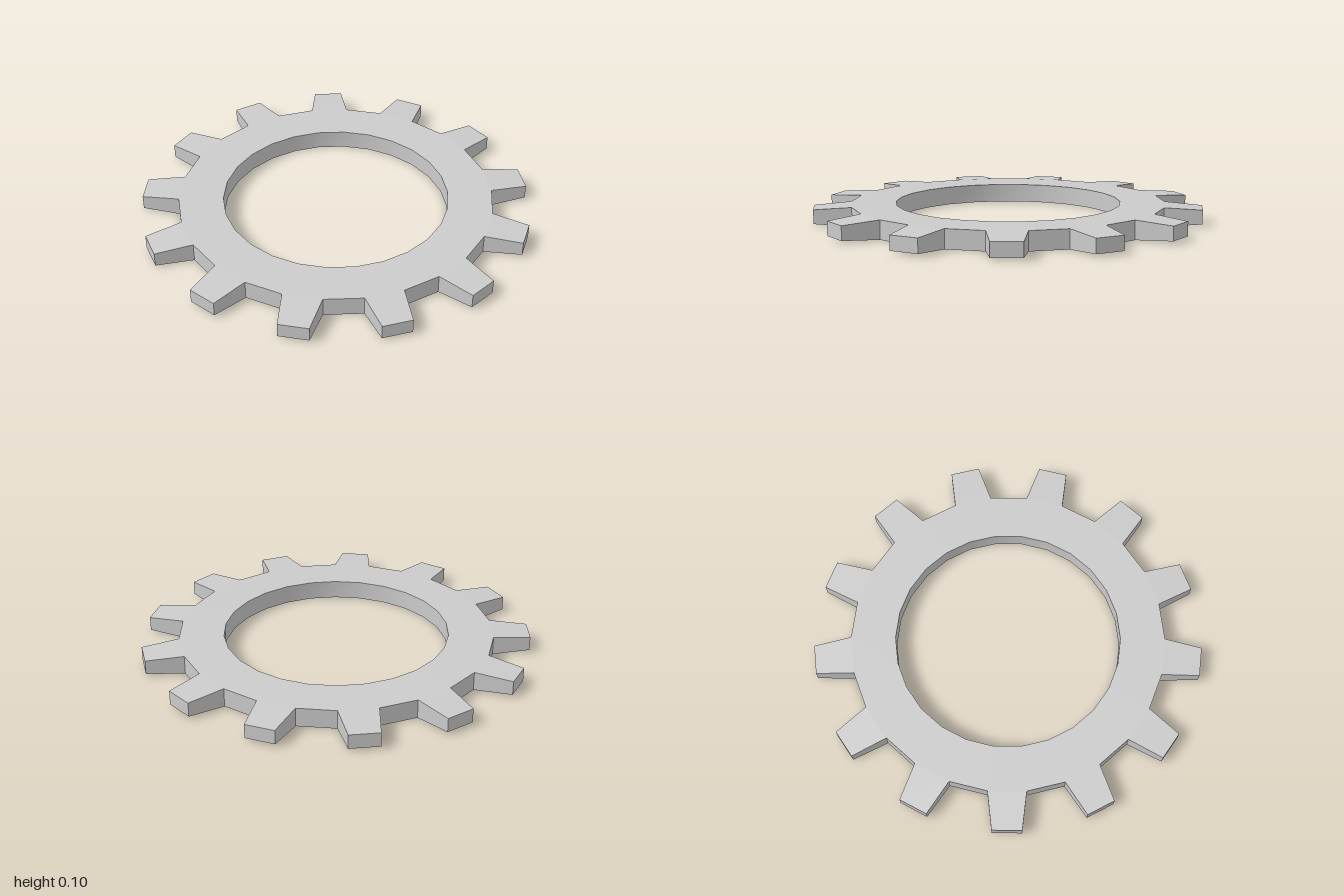
import * as THREE from 'three';
import { toCreasedNormals } from 'three/addons/utils/BufferGeometryUtils.js';

const TEETH = 13;
const STEP = Math.PI / TEETH; // one tooth or one gap
const HEIGHT = 0.097;

// Edge lines of a cell: radius, half angle, bottom and top
const HOLE = { r: 0.58, half: STEP / 2, y0: 0, y1: HEIGHT };
const ROOT = { r: 0.81, half: STEP / 2, y0: 0, y1: HEIGHT };
const TIP = { r: 1.0, half: 0.0757, y0: 0.012, y1: HEIGHT - 0.012 };

// Adds the chosen faces of a wedge between two edge lines, centred on an angle
function addCell(out, angle, inner, outer, faces) {
  const corner = (e, side, y) => {
    const a = angle + side * e.half;
    return [e.r * Math.sin(a), y, -e.r * Math.cos(a)];
  };
  const [i0, i1, I0, I1] = [[-1, 'y0'], [1, 'y0'], [-1, 'y1'], [1, 'y1']].map(([s, y]) => corner(inner, s, inner[y]));
  const [o0, o1, O0, O1] = [[-1, 'y0'], [1, 'y0'], [-1, 'y1'], [1, 'y1']].map(([s, y]) => corner(outer, s, outer[y]));
  const quads = {
    top: [I0, I1, O1, O0],
    bottom: [o0, o1, i1, i0],
    inner: [i0, i1, I1, I0],
    outer: [o1, o0, O0, O1],
    sideA: [o0, i0, I0, O0],
    sideB: [i1, o1, O1, I1],
  };
  for (const face of faces) {
    const [a, b, c, d] = quads[face];
    out.push(...a, ...b, ...c, ...a, ...c, ...d);
  }
}

function makeGeometry(positions) {
  const geometry = new THREE.BufferGeometry();
  geometry.setAttribute('position', new THREE.Float32BufferAttribute(positions, 3));
  return toCreasedNormals(geometry, 0.35);
}

export function createModel() {
  const gear = new THREE.Group();
  gear.name = 'gear';
  const material = new THREE.MeshStandardMaterial({ color: 0xcccccc });

  // Ring with a round hole; its outer wall shows only in the gaps
  const ringPositions = [];
  for (let i = 0; i < TEETH * 2; i++) {
    const faces = ['top', 'bottom', 'inner'];
    if (i % 2) faces.push('outer');
    addCell(ringPositions, i * STEP, HOLE, ROOT, faces);
  }
  const ring = new THREE.Mesh(makeGeometry(ringPositions), material);
  ring.name = 'ring';
  gear.add(ring);

  // Teeth, narrower and thinner towards the tip
  const toothPositions = [];
  addCell(toothPositions, 0, ROOT, TIP, ['top', 'bottom', 'outer', 'sideA', 'sideB']);
  const toothGeometry = makeGeometry(toothPositions);
  for (let i = 0; i < TEETH; i++) {
    const tooth = new THREE.Mesh(toothGeometry, material);
    tooth.name = `tooth${i + 1}`;
    tooth.rotation.y = -i * 2 * STEP;
    gear.add(tooth);
  }
  return gear;
}
